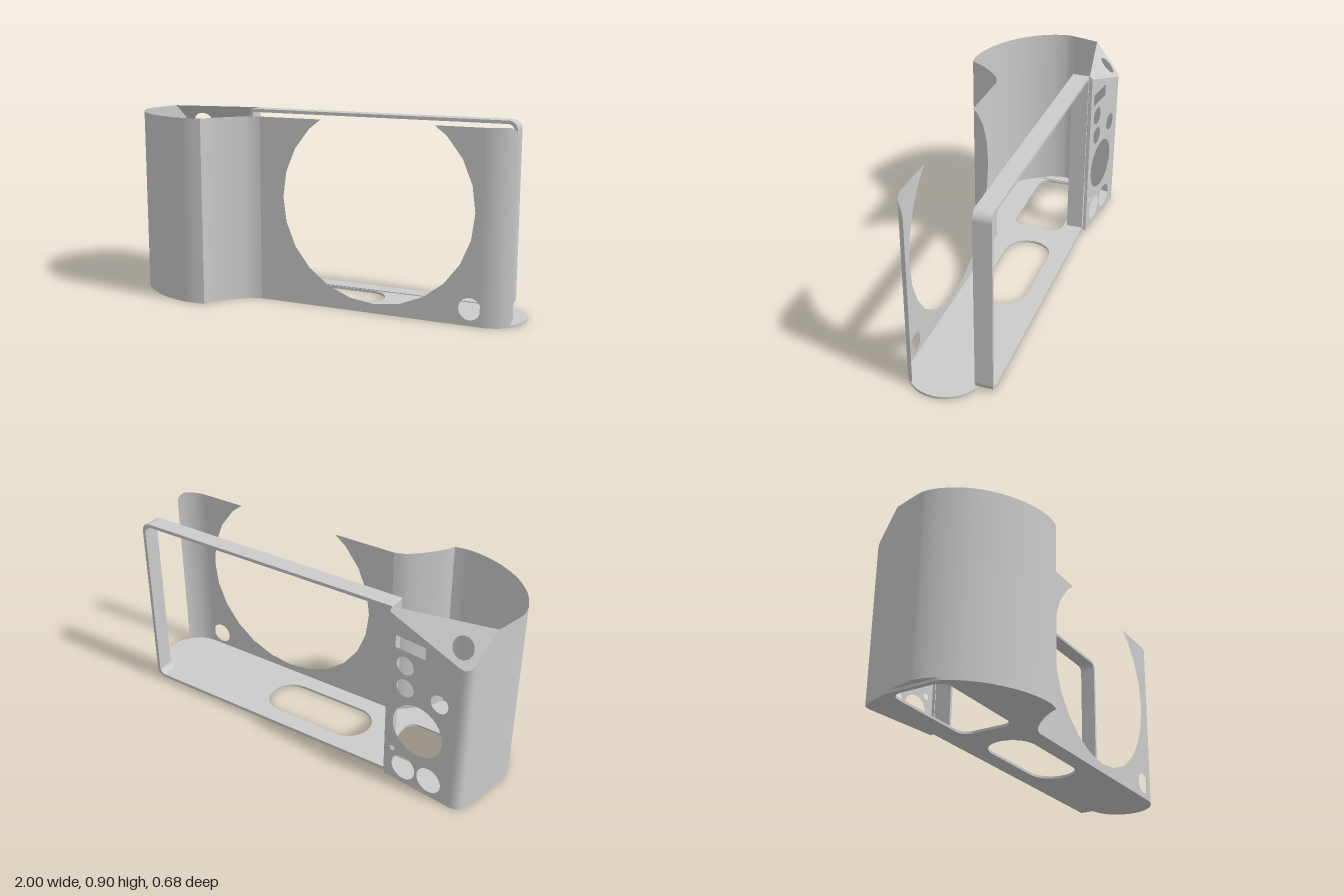
import * as THREE from 'three';

const H = 0.9; // body height
const mat = new THREE.MeshStandardMaterial({ color: 0xcccccc, side: THREE.DoubleSide });
const V = (p) => p.map(([x, y]) => new THREE.Vector2(x, y));
const spline = (p, n) => new THREE.SplineCurve(V(p)).getPoints(n).map((q) => [q.x, q.y]);

// Upright sheet following a plan path of [x, z] points
function wall(path, bottom = () => 0, top = () => H) {
  const pos = [], idx = [];
  path.forEach(([x, z], i) => {
    pos.push(x, bottom(x, z), z, x, top(x, z), z);
    if (i) {
      const a = 2 * i - 2;
      idx.push(a, a + 1, a + 2, a + 1, a + 3, a + 2);
    }
  });
  const g = new THREE.BufferGeometry();
  g.setAttribute('position', new THREE.Float32BufferAttribute(pos, 3));
  g.setIndex(idx);
  g.computeVertexNormals();
  return g;
}

// Horizontal slab from a plan shape (x, z)
function slab(shape, y, t) {
  const g = new THREE.ExtrudeGeometry(shape, { depth: t, bevelEnabled: false, curveSegments: 16 });
  return g.rotateX(Math.PI / 2).translate(0, y + t, 0);
}

function roundRect(P, x0, y0, x1, y1, r, rl = r) {
  const s = new P();
  s.moveTo(x0 + rl, y0);
  s.lineTo(x1 - r, y0);
  s.absarc(x1 - r, y0 + r, r, -Math.PI / 2, 0);
  s.lineTo(x1, y1 - r);
  s.absarc(x1 - r, y1 - r, r, 0, Math.PI / 2);
  s.lineTo(x0 + rl, y1);
  s.absarc(x0 + rl, y1 - rl, rl, Math.PI / 2, Math.PI);
  s.lineTo(x0, y0 + rl);
  s.absarc(x0 + rl, y0 + rl, rl, Math.PI, Math.PI * 1.5);
  return s;
}

function ellipse(x, y, rx, ry = rx) {
  return new THREE.Path().absellipse(x, y, rx, ry, 0, Math.PI * 2);
}

// Reshape a flat shape by moving its vertices with a rule
function mapped(shape, rule) {
  const g = new THREE.ShapeGeometry(shape, 16), p = g.attributes.position;
  for (let i = 0; i < p.count; i++) p.setXYZ(i, ...rule(p.getX(i), p.getY(i)));
  g.computeVertexNormals();
  return g;
}

export function createModel() {
  const group = new THREE.Group();
  const add = (name, geo) => {
    const m = new THREE.Mesh(geo, mat);
    m.name = name;
    group.add(m);
  };

  // Plan curves [x, z]
  const flare = spline([[-0.28, 0.125], [-0.33, 0.143], [-0.38, 0.183], [-0.43, 0.237], [-0.465, 0.285], [-0.487, 0.328]], 14);
  const grip = spline([[-0.487, 0.328], [-0.56, 0.336], [-0.65, 0.322], [-0.75, 0.285], [-0.85, 0.222],
    [-0.93, 0.14], [-0.98, 0.05], [-0.998, -0.02], [-0.995, -0.065]], 40);
  const side = [[-0.995, -0.065], [-0.968, -0.175], [-0.967, -0.18], [-0.962, -0.2]];
  const corner = [[-0.962, -0.2], [-0.93, -0.305], [-0.923, -0.322], [-0.912, -0.335], [-0.893, -0.344], [-0.87, -0.344]];
  const A = [-0.51, -0.285];
  const panelZ = (x) => -0.3 + (x + 0.51) * 0.122;
  // Sloped top of the thumb corner, falling away from the line A to the side wall
  const slopeY = (x, z) => H - 1.16 * Math.max(0, -0.983 * (z - A[1]) - 0.185 * (x - A[0]));

  // Front wall with the lens opening cut through its top edge
  const lens = [[0.598, H]];
  for (let a = 45; a >= -225; a -= 15) {
    const t = THREE.MathUtils.degToRad(a);
    lens.push([0.32 + 0.475 * Math.cos(t), 0.52 + 0.475 * Math.sin(t)]);
  }
  lens.push([0.042, H]);
  const front = new THREE.Shape(V([[-0.28, 0], [0.83, 0], [0.83, H], ...lens, [-0.28, H]]));
  front.holes.push(ellipse(0.78, 0.08, 0.052));
  add('frontWall', mapped(front, (x, y) => [x, y, 0.125]));

  // Curved end of the front wall with rounded free corners
  const endArc = [], R = 0.17, a1 = 0.9, r = 0.05;
  for (let i = 0; i <= 24; i++) {
    const a = a1 * Math.sin((i / 24) * Math.PI / 2);
    endArc.push([0.83 + R * Math.sin(a), -0.045 + R * Math.cos(a)]);
  }
  const cut = (x, z) => {
    const d = R * (a1 - Math.atan2(x - 0.83, z + 0.045));
    return d >= r ? 0 : r - Math.sqrt(Math.max(0, r * r - (r - d) ** 2));
  };
  add('frontWallEnd', wall(endArc, cut, (x, z) => H - cut(x, z)));

  // Grip walls, with a shallow door notch along the bottom
  const notch = (x, z) => (x < -0.9 && z < 0.08 && z > -0.178 ? 0.017 : 0);
  add('gripFlare', wall(flare));
  add('grip', wall(grip, notch));
  add('gripSide', wall(side, notch));
  add('rearCorner', wall(corner, () => 0, slopeY));
  add('panelStep', wall([[-0.51, -0.3], A], () => 0, slopeY));

  // Angled control panel with button openings
  const panel = new THREE.Shape(V([[-0.87, 0], [-0.51, 0], [-0.51, slopeY(-0.51, -0.3)], [-0.87, slopeY(-0.87, -0.344)]]));
  panel.holes.push(new THREE.Path(V([[-0.7, 0.72], [-0.545, 0.72], [-0.545, 0.78], [-0.7, 0.78]])));
  for (const [x, y, rad] of [[-0.6, 0.645, 0.045], [-0.605, 0.53, 0.045], [-0.785, 0.53, 0.045],
    [-0.68, 0.33, 0.132], [-0.55, 0.17, 0.014], [-0.615, 0.09, 0.064], [-0.755, 0.09, 0.064]])
    panel.holes.push(ellipse(x, y, rad));
  add('controlPanel', mapped(panel, (x, y) => [x, y, panelZ(x)]));

  // Sloped thumb facet with the dial opening
  const facet = new THREE.Shape(V([...corner, [-0.51, -0.3], A]));
  facet.holes.push(ellipse(-0.852, -0.29, 0.048, 0.032));
  add('thumbFacet', mapped(facet, (x, z) => [x, slopeY(x, z), z]));

  // Screen frame at the back
  const frame = roundRect(THREE.Shape, -0.51, 0, 0.89, H, 0.045, 0.004);
  frame.holes.push(roundRect(THREE.Path, -0.497, 0.016, 0.874, H - 0.016, 0.032, 0.004));
  add('screenFrame', new THREE.ExtrudeGeometry(frame, { depth: 0.083, bevelEnabled: false, curveSegments: 8 }).translate(0, 0, -0.283));

  // Bottom plate with battery and long openings
  const end = [];
  for (let i = 0; i <= 24; i++) {
    const a = Math.PI * (1 - i / 24);
    end.push([0.83 + R * Math.sin(a), -0.045 - R * Math.cos(Math.PI - a)].map((v, k) => (k ? -0.09 - v : v)));
  }
  const rim = [...flare, ...grip.slice(1), ...side.slice(1)].map(([x, z]) => [notch(x, z) ? Math.max(x, -0.967) : x, z]);
  const base = new THREE.Shape(V([...rim, ...corner.slice(1), [-0.51, -0.3], [-0.51, -0.215],
    ...end.sort((p, q) => p[1] - q[1])]));
  base.holes.push(roundRect(THREE.Path, -0.945, -0.18, -0.43, 0.085, 0.055),
    roundRect(THREE.Path, -0.29, -0.195, 0.285, 0.037, 0.1155));
  add('bottomPlate', slab(base, 0, 0.012));

  // Ledge closing the notch
  const ledge = [...grip, ...side.slice(1)].filter(([x, z]) => notch(x, z));
  add('doorLedge', slab(new THREE.Shape(V([...ledge, [-0.95, -0.175], [-0.95, 0.075]])), 0.012, 0.005));

  return group;
}
